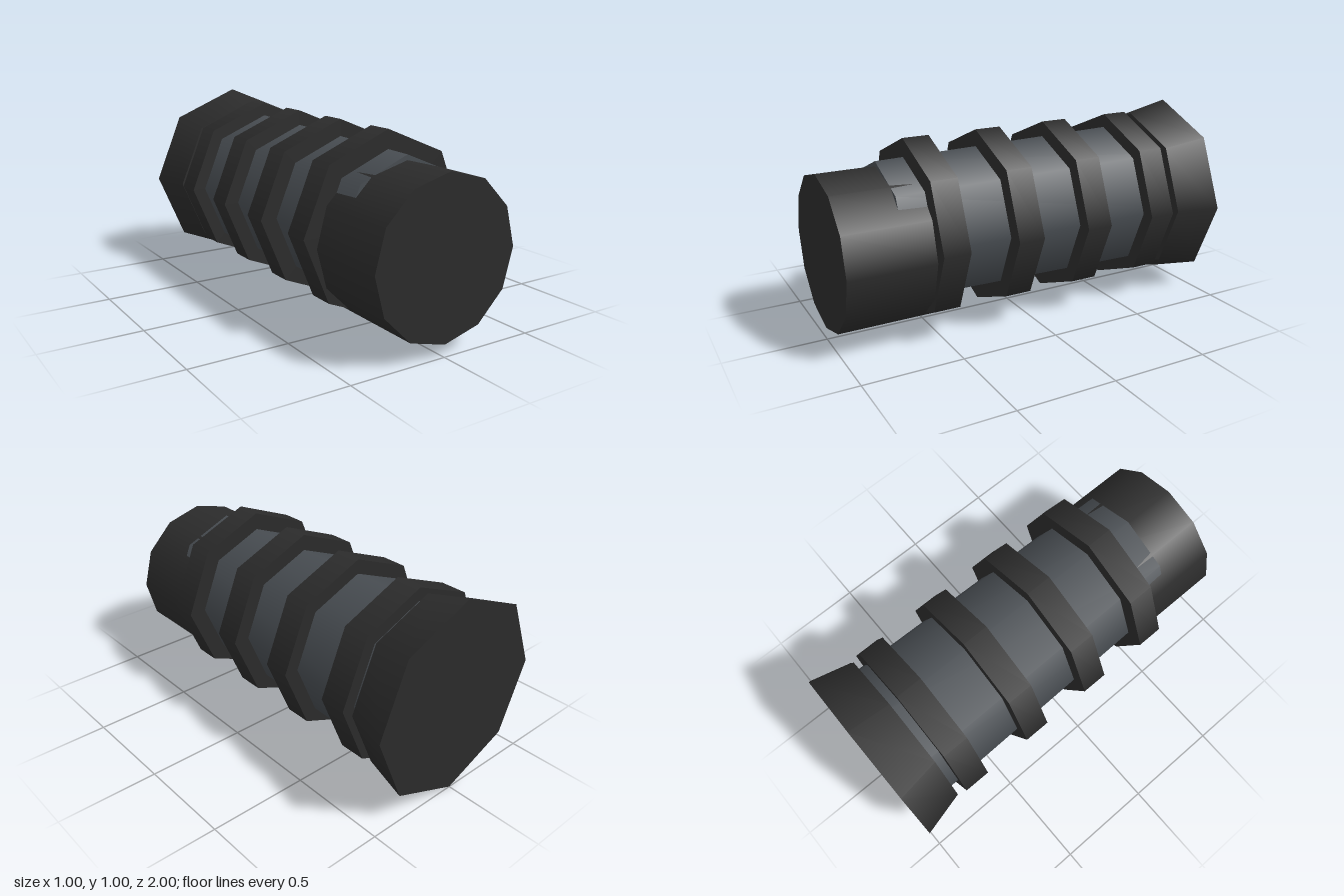
import * as THREE from 'three';

const rubber = new THREE.MeshStandardMaterial({ color: 0x2b2b2b });
rubber.name = 'dark rubber';
const steel = new THREE.MeshStandardMaterial({ color: 0x474c51 });
steel.name = 'grey steel';

// Prism or cone along z, from zBack to zFront
function barrel(name, material, sides, zBack, zFront, rBack, rFront, y = 0.5) {
  const geometry = new THREE.CylinderGeometry(rFront, rBack, zFront - zBack, sides);
  geometry.rotateX(Math.PI / 2);
  const mesh = new THREE.Mesh(geometry, material);
  mesh.name = name;
  mesh.position.set(0, y, (zFront + zBack) / 2);
  return mesh;
}

export function createModel() {
  const group = new THREE.Group();
  group.name = 'ribbedGrip';

  // Tapered octagonal core
  group.add(barrel('core', steel, 8, -0.8, 0.71, 0.39, 0.36));

  // Four evenly spaced grip rings
  for (let i = 0; i < 4; i++) {
    const z = 0.5 - i * 0.389;
    group.add(barrel('gripRing' + (i + 1), rubber, 8, z - 0.068, z + 0.068, 0.456, 0.456));
  }

  // Flared end at the back
  group.add(barrel('flaredEnd', rubber, 8, -1, -0.78, 0.5, 0.443));

  // Twelve-sided nose, set slightly lower than the core
  group.add(barrel('nose', rubber, 12, 0.48, 1, 0.387, 0.387, 0.447));

  return group;
}
